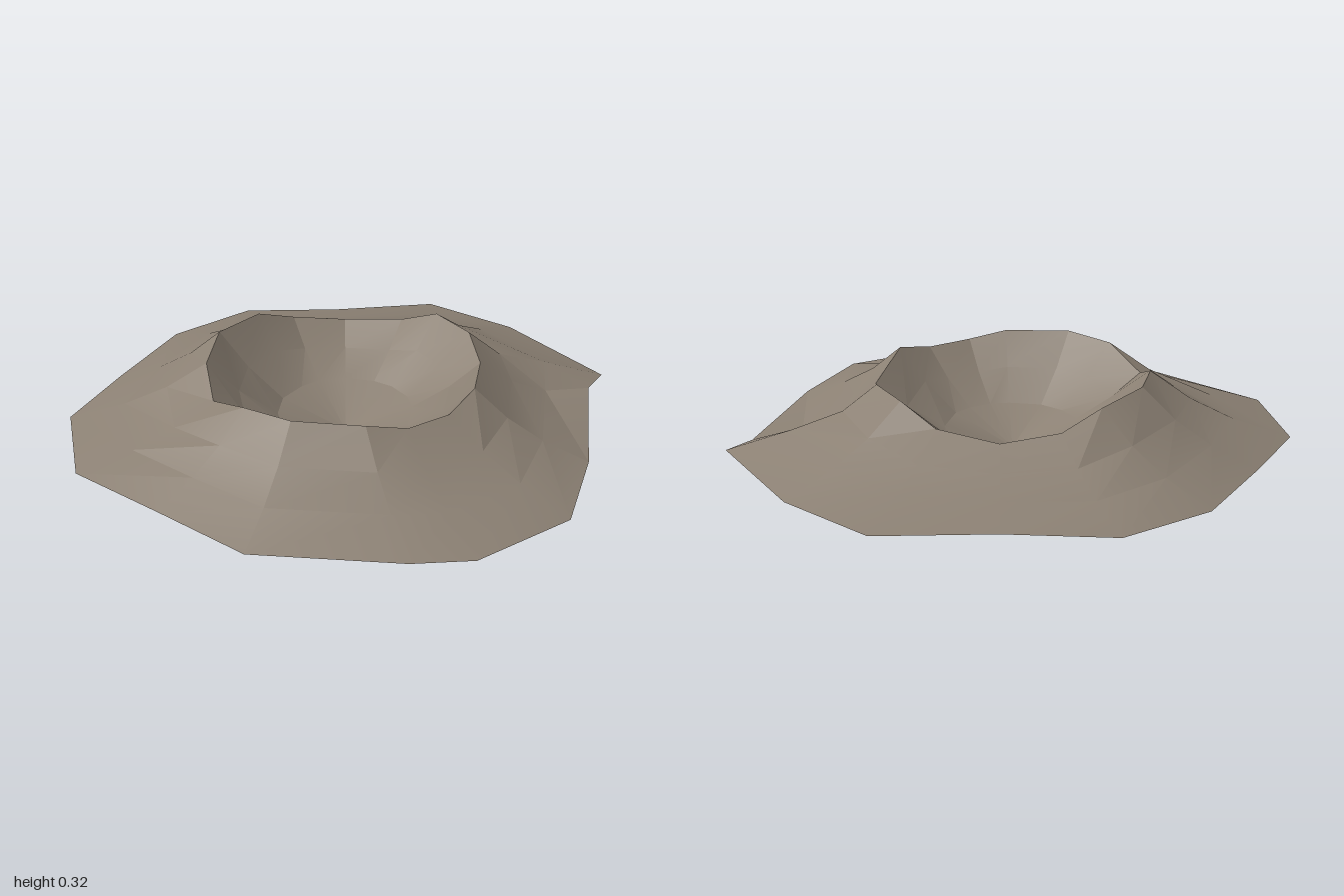
import * as THREE from 'three';
import { toCreasedNormals } from 'three/addons/utils/BufferGeometryUtils.js';

const N = 16;
const CENTRE = [-0.03, 0, -0.025];

// Crest of the crater, clockwise from the back: x, y, z
const RIM = [
  [0.01, 0.305, -0.53], [0.17, 0.245, -0.5], [0.34, 0.215, -0.38], [0.455, 0.24, -0.18],
  [0.485, 0.305, -0.025], [0.445, 0.305, 0.17], [0.355, 0.255, 0.3], [0.115, 0.305, 0.465],
  [-0.04, 0.27, 0.48], [-0.215, 0.275, 0.445], [-0.34, 0.305, 0.365], [-0.5, 0.315, 0.17],
  [-0.535, 0.305, -0.025], [-0.5, 0.24, -0.225], [-0.405, 0.305, -0.365], [-0.22, 0.32, -0.5],
];

// Outer foot of the slope: x, z
const FOOT = [
  [-0.03, -1], [0.33, -0.95], [0.6, -0.68], [0.92, -0.42],
  [0.975, -0.03], [0.885, 0.495], [0.76, 0.52], [0.31, 0.835],
  [-0.03, 1], [-0.42, 0.92], [-0.58, 0.775], [-0.9, 0.36],
  [-0.935, -0.03], [-0.975, -0.42], [-0.75, -0.755], [-0.42, -0.875],
].map(([x, z]) => [x, 0.07, z]);

// Ring between two others: t is the way across, k the way in height
const blend = (from, to, t, k) => from.map((a, i) => {
  const b = to[i];
  return [a[0] + (b[0] - a[0]) * t, a[1] + (b[1] - a[1]) * k, a[2] + (b[2] - a[2]) * t];
});

// Facing-up surface through a list of rings, inner to outer
function surface(rings) {
  const positions = [];
  for (let r = 0; r < rings.length - 1; r++) {
    for (let i = 0; i < N; i++) {
      const j = (i + 1) % N;
      const a = rings[r][i], b = rings[r][j], c = rings[r + 1][j], d = rings[r + 1][i];
      positions.push(...a, ...c, ...d);
      if (a !== b) positions.push(...a, ...b, ...c);
    }
  }
  const geometry = new THREE.BufferGeometry();
  geometry.setAttribute('position', new THREE.Float32BufferAttribute(positions, 3));
  return toCreasedNormals(geometry, 0.25);
}

export function createModel() {
  const group = new THREE.Group();
  group.name = 'crater';
  const rock = new THREE.MeshStandardMaterial({ color: 0x8c8174, side: THREE.DoubleSide });
  rock.name = 'rock';

  // Bowl: shallow pointed floor, then steeper walls
  const tip = Array(N).fill(CENTRE);
  const floor = blend(tip, RIM, 0.5, 0).map(([x, , z]) => [x, 0.085, z]);
  const wall = blend(floor, RIM, 0.55, 0.46);
  const bowl = new THREE.Mesh(surface([tip, floor, wall, RIM]), rock);
  bowl.name = 'bowl';

  // Outer slope, flattening towards the foot
  const upper = blend(RIM, FOOT, 0.29, 0.43);
  const lower = blend(RIM, FOOT, 0.6, 0.74);
  // Sharp ridge with a gully beside it
  upper[5] = [0.54, 0.205, 0.25];
  lower[5] = [0.7, 0.145, 0.345];
  upper[6][1] = 0.155;
  lower[6][1] = 0.09;
  const slope = new THREE.Mesh(surface([RIM, upper, lower, FOOT]), rock);
  slope.name = 'outerSlope';

  group.add(bowl, slope);
  return group;
}
